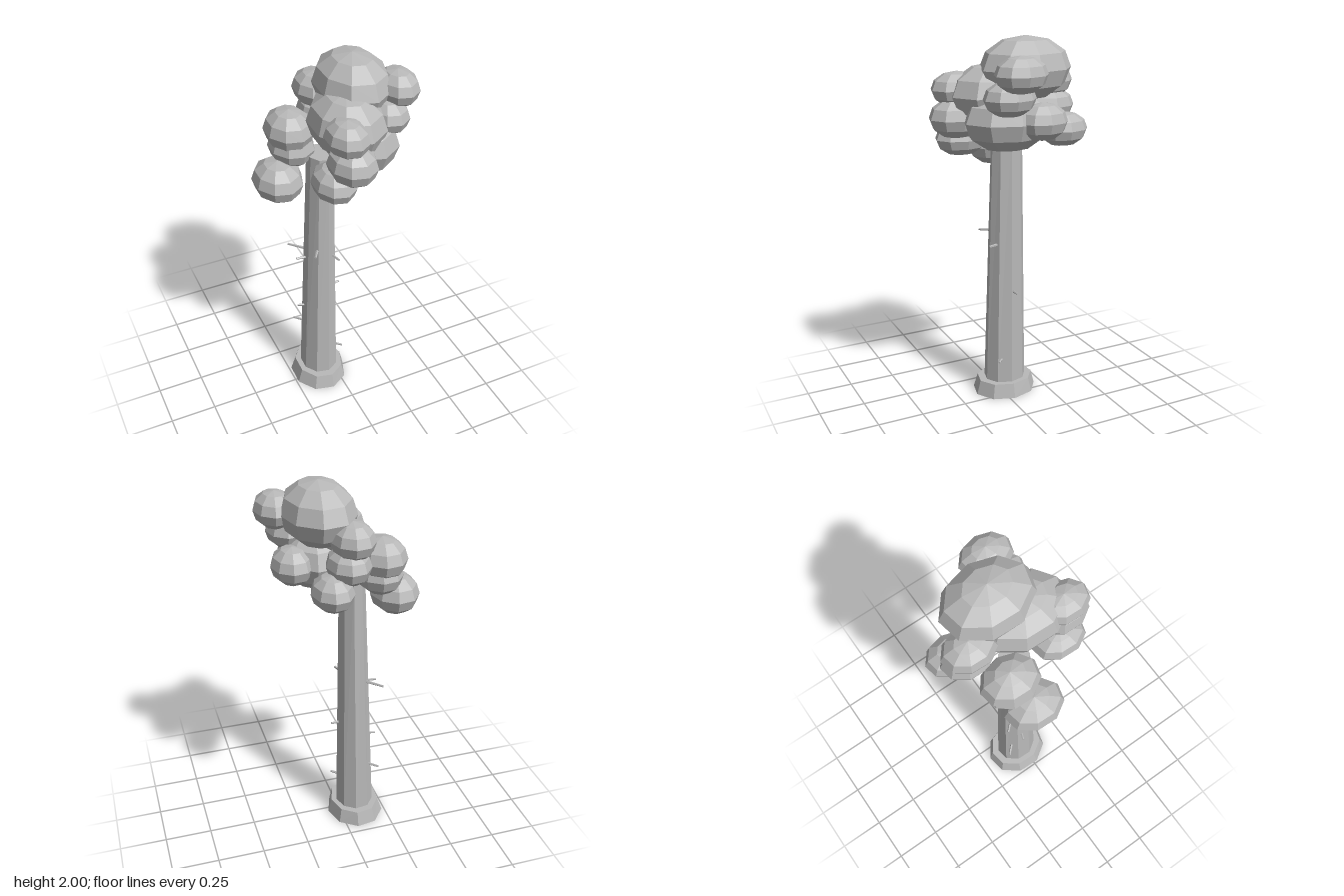
import * as THREE from 'three';

const SIDES = 9;

export function createModel() {
  const tree = new THREE.Group();
  tree.name = 'tree';
  const grey = new THREE.MeshStandardMaterial({ color: 0xb8b8b8, flatShading: true });
  grey.name = 'plain grey';

  const add = (parent, name, geometry) => {
    const mesh = new THREE.Mesh(geometry, grey);
    mesh.name = name;
    parent.add(mesh);
    return mesh;
  };

  // Tapered oval column between two rings: [x, y, z, radiusX, radiusZ]
  const column = (name, low, high) => {
    const g = new THREE.CylinderGeometry(1, 1, 1, SIDES, 1, false, THREE.MathUtils.degToRad(88));
    const p = g.attributes.position;
    for (let i = 0; i < p.count; i++) {
      const [x, y, z, rx, rz] = p.getY(i) < 0 ? low : high;
      p.setXYZ(i, x + p.getX(i) * rx, y, z + p.getZ(i) * rz);
    }
    g.computeVertexNormals();
    return add(tree, name, g);
  };
  column('rootFlare', [-0.091, 0, -0.033, 0.156, 0.18], [-0.087, 0.08, -0.033, 0.133, 0.159]);
  column('trunk', [-0.086, 0.07, -0.034, 0.104, 0.118], [-0.061, 1.5, -0.035, 0.066, 0.085]);

  // Leaf clumps: x, y, z, radiusX, radiusY, radiusZ
  const crown = new THREE.Group();
  crown.name = 'crown';
  tree.add(crown);
  const ball = new THREE.SphereGeometry(1, SIDES, 6, Math.PI - 0.035);
  [
    // three main masses
    [0.115, 1.84, -0.05, 0.186, 0.16, 0.242],
    [0.03, 1.71, 0.075, 0.186, 0.16, 0.242],
    [0.115, 1.59, 0.045, 0.186, 0.16, 0.24],
    // left-hand drooping side
    [-0.278, 1.38, -0.07, 0.127, 0.107, 0.157],
    [-0.182, 1.61, -0.14, 0.125, 0.107, 0.152],
    [-0.175, 1.52, -0.13, 0.117, 0.1, 0.14],
    // right-hand side
    [0.3, 1.835, 0.067, 0.105, 0.092, 0.138],
    [0.235, 1.715, 0.095, 0.107, 0.09, 0.137],
    [0.254, 1.595, -0.075, 0.107, 0.095, 0.132],
    // back
    [0.11, 1.517, -0.272, 0.106, 0.09, 0.136],
    [0, 1.755, -0.235, 0.11, 0.093, 0.139],
    [0.02, 1.63, -0.235, 0.11, 0.093, 0.139],
    // front
    [-0.05, 1.735, 0.247, 0.105, 0.09, 0.138],
    [-0.026, 1.595, 0.26, 0.12, 0.103, 0.146],
    [-0.097, 1.475, 0.205, 0.106, 0.09, 0.144],
  ].forEach(([x, y, z, rx, ry, rz]) => {
    const clump = add(crown, 'leafClump', ball);
    clump.position.set(x, y, z);
    clump.scale.set(rx, ry, rz);
  });

  // Short dead twigs: height, then inner and outer ends in x and z
  const twigs = new THREE.Group();
  twigs.name = 'twigs';
  tree.add(twigs);
  const up = new THREE.Vector3(0, 1, 0);
  [
    [0.95, -0.11, 0.03, -0.148, 0.09],
    [0.89, -0.03, 0.03, -0.013, 0.092],
    [0.88, -0.12, -0.08, -0.2, -0.165],
    [0.86, -0.12, -0.04, -0.2, -0.05],
    [0.62, -0.01, -0.04, 0.05, -0.045],
    [0.52, -0.14, -0.04, -0.198, -0.06],
    [0.35, -0.14, -0.1, -0.19, -0.15],
    [0.22, -0.02, 0.01, 0.025, 0.053],
  ].forEach(([y, x1, z1, x2, z2]) => {
    const from = new THREE.Vector3(x1, y, z1);
    const to = new THREE.Vector3(x2, y, z2);
    const dir = to.clone().sub(from);
    const twig = add(twigs, 'twig', new THREE.CylinderGeometry(0.006, 0.008, dir.length(), 5));
    twig.position.copy(from).add(to).multiplyScalar(0.5);
    twig.quaternion.setFromUnitVectors(up, dir.normalize());
  });

  return tree;
}
